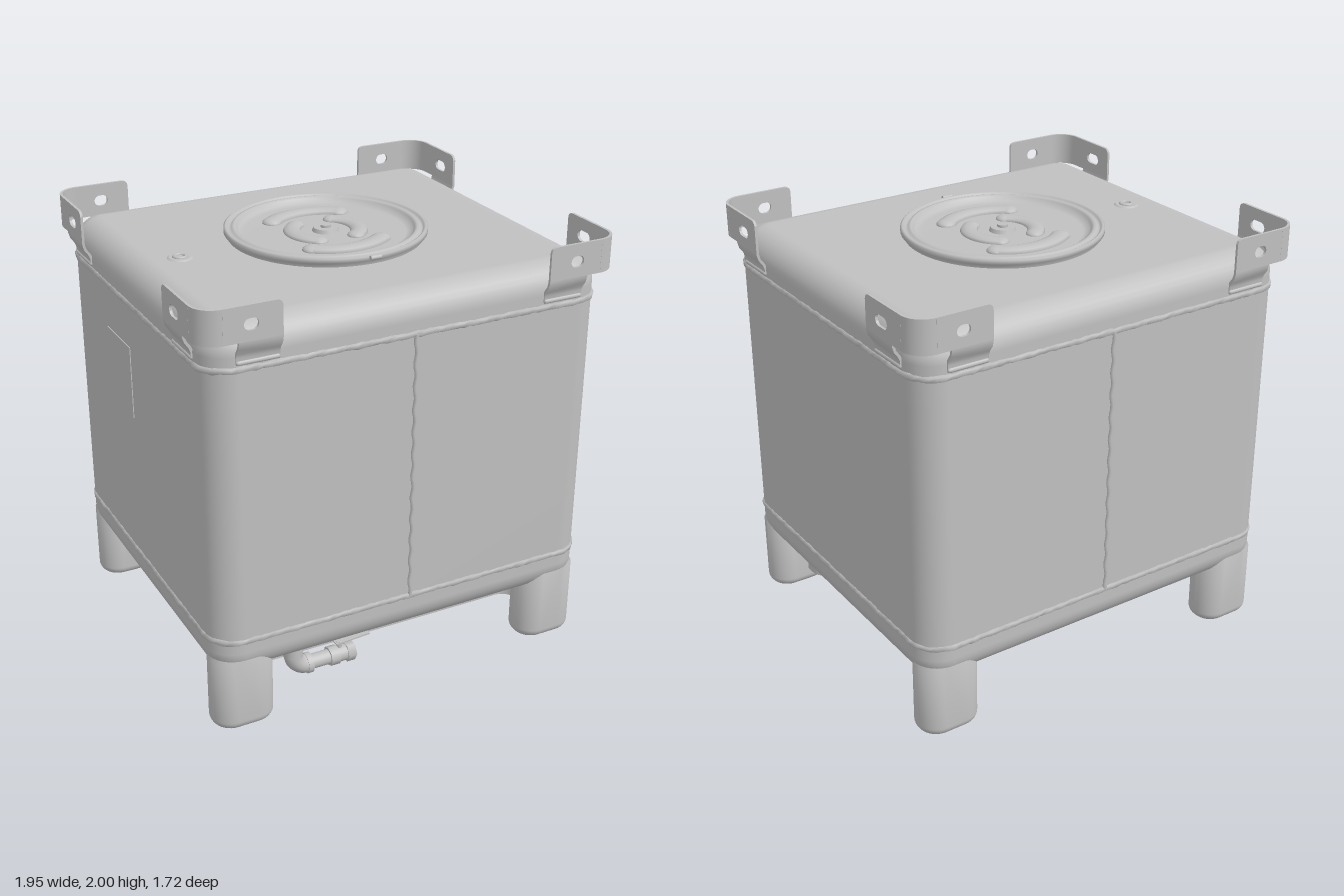
import * as THREE from 'three';
import { toCreasedNormals } from 'three/addons/utils/BufferGeometryUtils.js';

const steel = new THREE.MeshStandardMaterial({ color: 0xc0c0c0 });
steel.name = 'steel';

let seed = 7;
const rand = () => (seed = (seed * 16807) % 2147483647) / 2147483647 - 0.5;

// Rounded rectangle in x/z, with extra points along each straight side
function outline(hx, hz, r, straight) {
  const pts = [], sx = [1, -1, -1, 1], sz = [1, 1, -1, -1], n = 8;
  const corner = (k, i) => {
    const a = (k + i / n) * Math.PI / 2;
    return [sx[k] * (hx - r) + r * Math.cos(a), sz[k] * (hz - r) + r * Math.sin(a)];
  };
  for (let k = 0; k < 4; k++) {
    for (let i = 0; i <= n; i++) pts.push(corner(k, i));
    const a = corner(k, n), b = corner((k + 1) % 4, 0);
    for (let i = 1; i <= straight; i++) {
      const t = i / (straight + 1);
      pts.push([a[0] + (b[0] - a[0]) * t, a[1] + (b[1] - a[1]) * t]);
    }
  }
  return pts;
}

// Capped solid through rounded rectangles at [height, inset] levels
function loft(hx, hz, r, levels, straight = 0, rough = 0) {
  const pos = [], idx = [];
  let n = 0;
  for (const [y, inset] of levels) {
    const ring = outline(hx - inset, hz - inset, Math.max(r - inset, 0.005), straight);
    n = ring.length;
    for (const [x, z] of ring) {
      const s = 1 + rand() * rough;
      pos.push(x * s, y + rand() * rough, z * s);
    }
  }
  const last = (levels.length - 1) * n, c = levels.length * n;
  pos.push(0, levels[0][0], 0, 0, levels.at(-1)[0], 0);
  for (let i = 0; i < n; i++) {
    const j = (i + 1) % n;
    for (let k = 0; k < last; k += n) {
      idx.push(k + i, k + n + i, k + j, k + j, k + n + i, k + n + j);
    }
    idx.push(c, i, j, c + 1, last + j, last + i);
  }
  const g = new THREE.BufferGeometry();
  g.setAttribute('position', new THREE.Float32BufferAttribute(pos, 3));
  g.setIndex(idx);
  g.computeVertexNormals();
  return g;
}

// Quarter-round edge levels; dir -1 rounds the bottom, +1 the top
function fillet(y, r, dir) {
  const out = [];
  for (let i = 0; i <= 8; i++) {
    const a = i / 8 * Math.PI / 2;
    out.push([y - dir * r + dir * r * Math.sin(a), r - r * Math.cos(a)]);
  }
  return dir < 0 ? out.reverse() : out;
}

const extrude = (shape, depth) => toCreasedNormals(
  new THREE.ExtrudeGeometry(shape, { depth, bevelEnabled: false, curveSegments: 10 }), 0.6);

// Bent strip of sheet metal: a polyline thickened by t and extruded by its width
function strip(points, t, width) {
  const p = points.map(([x, y]) => new THREE.Vector2(x, y));
  const side = s => p.map((v, i) => {
    const d = p[Math.min(i + 1, p.length - 1)].clone().sub(p[Math.max(i - 1, 0)]).normalize();
    return new THREE.Vector2(v.x - d.y * s * t / 2, v.y + d.x * s * t / 2);
  });
  return extrude(new THREE.Shape([...side(1), ...side(-1).reverse()]), width);
}

const arc = (cx, cy, r, a0, a1, n = 10) => Array.from({ length: n + 1 }, (_, i) => {
  const a = a0 + (a1 - a0) * i / n;
  return [cx + r * Math.cos(a), cy + r * Math.sin(a)];
});

// Mirrored copy with the triangle order corrected
function mirrored(geo, sx, sz) {
  const g = geo.index ? geo.toNonIndexed() : geo.clone();
  g.scale(sx, 1, sz);
  if (sx * sz < 0) {
    for (const a of Object.values(g.attributes)) {
      const w = a.itemSize, d = a.array;
      for (let i = 0; i < d.length; i += 3 * w) {
        for (let k = 0; k < w; k++) [d[i + w + k], d[i + 2 * w + k]] = [d[i + 2 * w + k], d[i + w + k]];
      }
    }
  }
  return g;
}

// Upright bracket plate with a slotted hole
function plate(x0, x1, cx, half, r) {
  const s = new THREE.Shape();
  s.moveTo(x0, 1.85).lineTo(x1, 1.85).lineTo(x1, 2).lineTo(x0 + 0.03, 2);
  s.quadraticCurveTo(x0, 2, x0, 1.97);
  const h = new THREE.Path();
  h.absarc(cx + half, 1.92, r, -Math.PI / 2, Math.PI / 2);
  h.absarc(cx - half, 1.92, r, Math.PI / 2, Math.PI * 1.5);
  s.holes.push(h);
  return extrude(s, 0.012);
}

export function createModel() {
  const model = new THREE.Group();
  const add = (name, geo, x = 0, y = 0, z = 0, parent = model) => {
    const m = new THREE.Mesh(geo, steel);
    m.name = name;
    m.position.set(x, y, z);
    parent.add(m);
    return m;
  };
  const H = Math.PI / 2;

  // Tank body and its weld beads
  add('tankBody', loft(0.935, 0.822, 0.135, [...fillet(0.27, 0.13, -1), ...fillet(1.9, 0.125, 1)]));
  for (const y of [0.46, 1.72]) {
    add('weldBead', loft(0.935, 0.822, 0.135,
      [[y - 0.016, 0.004], [y - 0.009, -0.007], [y + 0.009, -0.007], [y + 0.016, 0.004]], 60, 0.006));
  }
  for (const z of [0.822, -0.822]) {
    const g = new THREE.CylinderGeometry(0.01, 0.01, 1.26, 8, 60);
    const p = g.attributes.position;
    for (let i = 0; i < p.count; i++) p.setX(i, p.getX(i) + 0.004 * Math.sin(p.getY(i) * 60));
    add('verticalWeld', g, 0, 1.09, z);
  }
  add('sidePlate', new THREE.BoxGeometry(0.006, 0.34, 0.28), -0.936, 1.34, -0.18);

  // Legs and corner lifting brackets
  const leg = loft(0.145, 0.0975, 0.094, [...fillet(0, 0.045, -1), [0.36, 0]]).translate(0.785, 0, 0.7175);
  const tab = o => [[o, 1.86], [o, 1.845], [o - 0.007, 1.82], [o - 0.025, 1.795], [o - 0.033, 1.775], [o - 0.034, 1.75]];
  const bracketParts = {
    frontPlate: plate(0.62, 0.875, 0.755, 0.007, 0.025).translate(0, 0, 0.848),
    sidePlate: plate(0.49, 0.76, 0.612, 0.02, 0.025).rotateY(-H).translate(0.975, 0, 0),
    corner: strip(arc(0.875, 0.76, 0.094, 0, H), 0.012, 0.15).rotateX(H).translate(0, 2, 0),
    frontTab: strip(tab(0.854), 0.012, 0.19).rotateY(-H).translate(0.81, 0, 0),
    sideTab: strip(tab(0.969), 0.012, 0.2).translate(0, 0, 0.49),
    frontTabWeld: new THREE.CapsuleGeometry(0.011, 0.17, 4, 8).rotateZ(H).translate(0.715, 1.75, 0.823),
    sideTabWeld: new THREE.CapsuleGeometry(0.011, 0.18, 4, 8).rotateX(H).translate(0.936, 1.75, 0.59),
  };
  for (const sx of [1, -1]) for (const sz of [1, -1]) {
    add('leg', mirrored(leg, sx, sz));
    const bracket = new THREE.Group();
    bracket.name = 'liftingBracket';
    model.add(bracket);
    for (const [name, g] of Object.entries(bracketParts)) add(name, mirrored(g, sx, sz), 0, 0, 0, bracket);
  }

  // Guard bar bent around behind the front legs
  add('guardBar', strip([[-0.76, 0.63], ...arc(-0.68, 0.576, 0.08, -Math.PI, -H),
    ...arc(0.68, 0.576, 0.08, -H, 0), [0.76, 0.63]], 0.012, 0.155).rotateX(H).translate(0, 0.235, 0));

  // Round lid with clamp ring
  const profile = [[0.44, 1.89], [0.44, 1.912], [0.456, 1.922], [0.456, 1.94], [0.447, 1.947], [0.437, 1.942],
    [0.43, 1.93], [0.42, 1.942], [0.408, 1.945], [0.396, 1.938], [0.388, 1.92], [0.36, 1.913], [0, 1.915]];
  add('lid', new THREE.LatheGeometry(profile.map(([x, y]) => new THREE.Vector2(x, y)), 72));
  add('clampBolt', new THREE.CylinderGeometry(0.011, 0.011, 0.05, 10).rotateZ(H), 0, 1.937, 0.465);

  // Curved ribs pressed into the lid
  const rib = (R, r, half, angle) => {
    const g = new THREE.Group();
    g.name = 'lidRib';
    add('ribArc', new THREE.TorusGeometry(R, r, 10, 28, half * 2).rotateZ(-half).rotateX(H), 0, 0, 0, g);
    for (const s of [1, -1]) {
      add('ribEnd', new THREE.SphereGeometry(r, 14, 10), R * Math.cos(half), 0, s * R * Math.sin(half), g);
    }
    g.scale.y = 0.5;
    g.position.y = 1.914;
    g.rotation.y = angle;
    model.add(g);
  };
  for (const s of [1, -1]) {
    rib(0.265, 0.045, 0.69, s * H);
    rib(0.15, 0.04, 0.92, s > 0 ? 0 : Math.PI);
  }
  add('lidHub', new THREE.CylinderGeometry(0.055, 0.062, 0.02, 28), 0, 1.922, 0);
  add('lidHubCap', new THREE.CylinderGeometry(0.024, 0.024, 0.014, 20), 0, 1.936, 0);

  // Small vent on the top
  add('ventFlange', new THREE.CylinderGeometry(0.05, 0.058, 0.006, 24), -0.7, 1.902, 0);
  add('ventRing', new THREE.TorusGeometry(0.026, 0.008, 8, 24).rotateX(H), -0.7, 1.905, 0);

  // Drain elbow and valve
  const valve = new THREE.Group();
  valve.name = 'drainValve';
  valve.position.z = 0.7;
  model.add(valve);
  const pipe = (name, r, x0, x1, sides = 20) =>
    add(name, new THREE.CylinderGeometry(r, r, x1 - x0, sides).rotateZ(H), (x0 + x1) / 2, 0.165, 0, valve);
  add('outlet', new THREE.CylinderGeometry(0.045, 0.045, 0.07, 20), -0.52, 0.265, 0, valve);
  add('elbow', new THREE.TorusGeometry(0.07, 0.043, 14, 16, H).rotateZ(Math.PI), -0.45, 0.235, 0, valve);
  pipe('elbowCollar', 0.047, -0.46, -0.435);
  pipe('neck', 0.034, -0.435, -0.34);
  pipe('valveBody', 0.045, -0.345, -0.3, 8);
  pipe('valveMiddle', 0.038, -0.3, -0.26);
  pipe('valveNut', 0.047, -0.26, -0.22, 6);
  add('valveStem', new THREE.CylinderGeometry(0.013, 0.013, 0.05, 12), -0.29, 0.205, 0, valve);
  add('lever', new THREE.BoxGeometry(0.17, 0.007, 0.03).rotateZ(0.06), -0.225, 0.23, 0, valve);

  return model;
}
